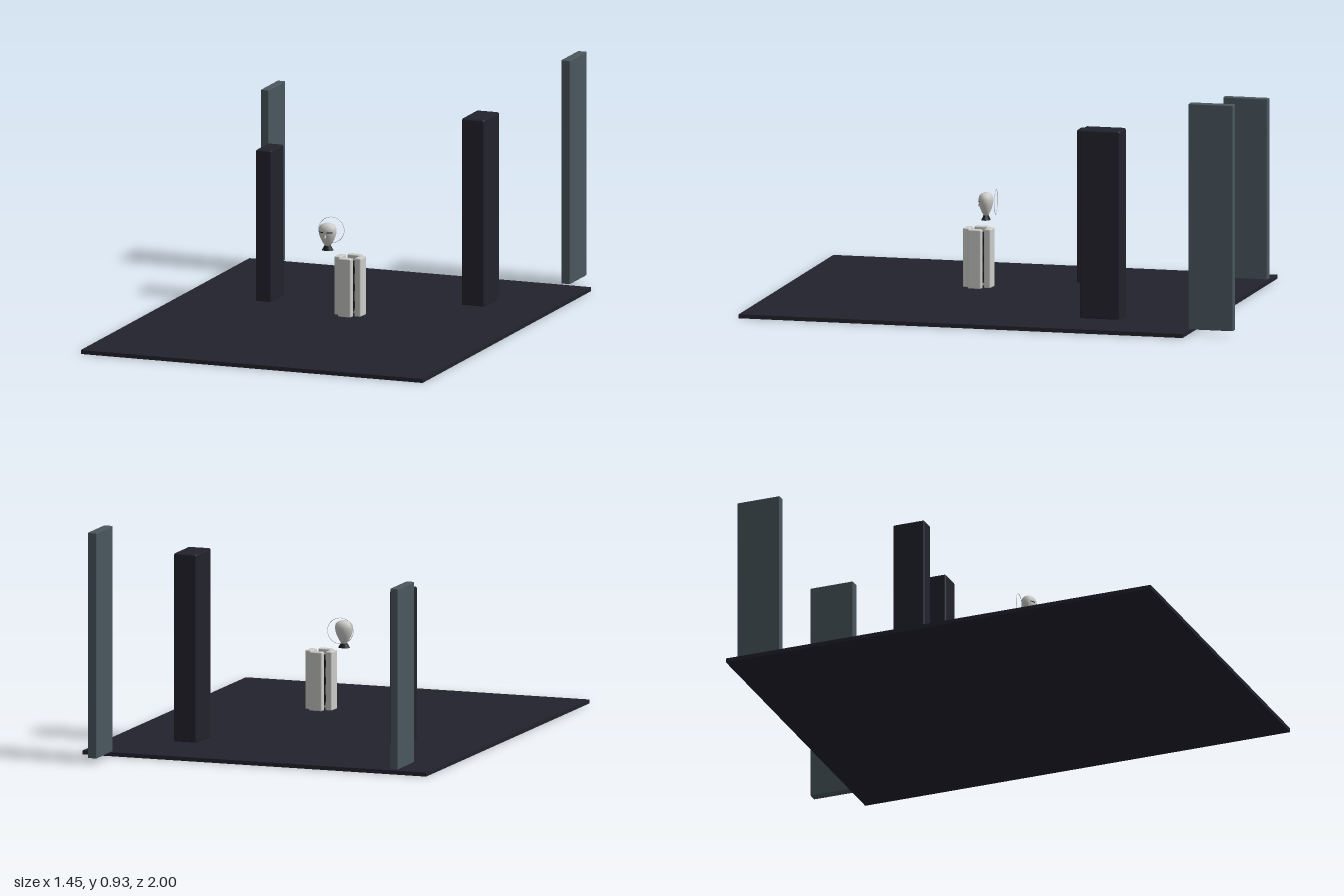
import * as THREE from 'three';
import { RoundedBoxGeometry } from 'three/addons/geometries/RoundedBoxGeometry.js';

const mat = (name, color) => {
  const m = new THREE.MeshStandardMaterial({ color });
  m.name = name;
  return m;
};

export function createModel() {
  const slate = mat('dark slate', 0x22222d);
  const glass = mat('smoky glass', 0x4a575e);
  const pale = mat('pale stone', 0xcbcbc8);
  const black = mat('black core', 0x1a1b20);

  const model = new THREE.Group();
  model.name = 'model';

  const add = (parent, name, geometry, material, x = 0, y = 0, z = 0) => {
    const mesh = new THREE.Mesh(geometry, material);
    mesh.name = name;
    mesh.position.set(x, y, z);
    parent.add(mesh);
    return mesh;
  };

  // Block given by its minimum and maximum corners, with softened edges
  const block = (name, material, [x0, y0, z0], [x1, y1, z1], bevel) =>
    add(model, name, new RoundedBoxGeometry(x1 - x0, y1 - y0, z1 - z0, 2, bevel), material,
      (x0 + x1) / 2, (y0 + y1) / 2, (z0 + z1) / 2);

  // Floor slab
  add(model, 'floor', new THREE.BoxGeometry(1.454, 0.016, 1.818), slate, 0, 0.008, 0.091);

  // Standing monoliths and glass panels
  block('rightMonolith', slate, [-0.416, 0.012, -0.23], [-0.349, 0.628, -0.097], 0.006);
  block('leftMonolith', slate, [0.369, 0.012, -0.492], [0.466, 0.772, -0.327], 0.008);
  block('rightPanel', glass, [-0.607, 0.02, -0.818], [-0.574, 0.746, -0.637], 0.003);
  block('leftPanel', glass, [0.599, 0.02, -1.0], [0.637, 0.926, -0.818], 0.003);

  // Floating column: four pale slabs around a dark core
  const column = new THREE.Group();
  column.name = 'column';
  column.position.set(0.098, 0.178, 0.185);
  column.rotation.y = -0.06;
  model.add(column);
  add(column, 'core', new THREE.BoxGeometry(0.046, 0.2, 0.046), black);
  for (const y of [-0.07, 0, 0.07]) {
    add(column, 'coreBand', new THREE.BoxGeometry(0.064, 0.03, 0.064), black, 0, y, 0);
  }
  for (let i = 0; i < 4; i++) {
    const arm = new THREE.Group();
    arm.name = 'columnArm';
    arm.rotation.y = i * Math.PI / 2;
    column.add(arm);
    add(arm, 'columnSlab', new RoundedBoxGeometry(0.056, 0.237, 0.028, 2, 0.005), pale, 0, 0, 0.044);
    add(arm, 'coreStud', new THREE.BoxGeometry(0.006, 0.004, 0.006), pale, 0.011, 0.102, 0.011);
  }

  // Floating bust: egg-shaped head narrowing to the chin
  const bust = new THREE.Group();
  bust.name = 'bust';
  bust.position.set(0, 0, 0.181);
  model.add(bust);
  const lathe = (points, segments, start, length) =>
    new THREE.LatheGeometry(points.map(([r, y]) => new THREE.Vector2(r, y)), segments, start, length);
  const head = add(bust, 'head', lathe([
    [0, 0.33], [0.012, 0.331], [0.02, 0.343], [0.029, 0.36], [0.035, 0.378], [0.037, 0.394],
    [0.034, 0.407], [0.026, 0.416], [0.014, 0.421], [0, 0.422],
  ], 32), pale);
  head.scale.z = 0.8;

  // Eye slits wrap around the face
  for (const side of [-1, 1]) {
    const eye = add(bust, 'eye', lathe([[0.0368, 0.386], [0.0375, 0.39]], 8, side * 0.54 - 0.34, 0.68), black);
    eye.scale.z = 0.8;
  }
  const nose = add(bust, 'nose', new THREE.ConeGeometry(0.005, 0.024, 4), pale, 0, 0.377, 0.027);
  nose.rotation.x = -0.15;

  // Flared neck
  const neck = add(bust, 'neck', new THREE.CylinderGeometry(0.009, 0.024, 0.026, 16), black, 0, 0.325, 0);
  neck.scale.z = 0.75;

  // Thin halo behind the head, turned slightly
  const halo = add(model, 'halo', new THREE.TorusGeometry(0.052, 0.001, 8, 64), pale, 0, 0.386, 0.14);
  halo.rotation.y = 0.15;

  return model;
}
